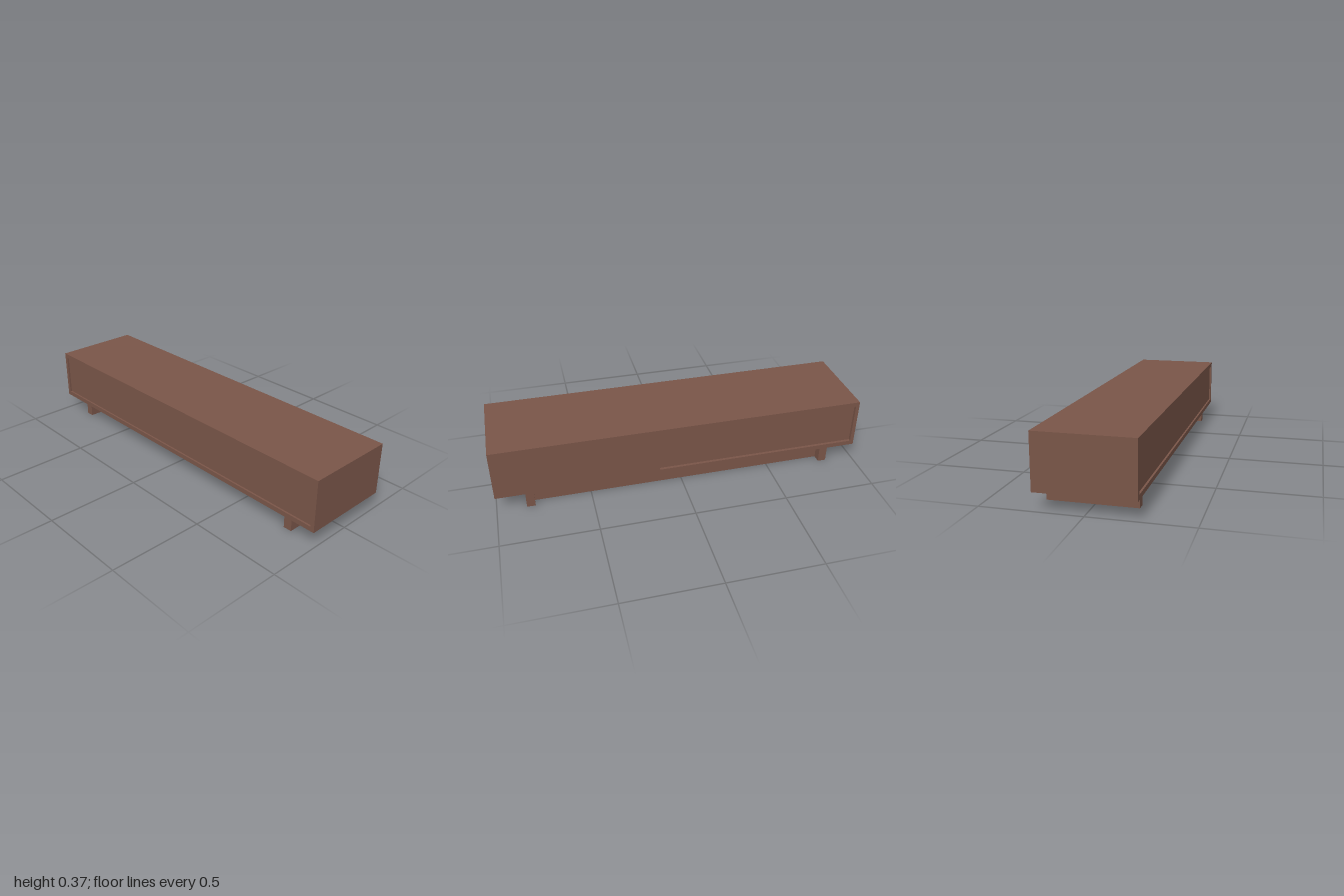
import * as THREE from 'three';

export function createModel() {
  const model = new THREE.Group();
  const wood = new THREE.MeshStandardMaterial({ color: 0x795548 });
  wood.name = 'brown wood';

  // Box given by its lower and upper limits on each axis
  function board(name, [x0, x1], [y0, y1], [z0, z1]) {
    const mesh = new THREE.Mesh(new THREE.BoxGeometry(x1 - x0, y1 - y0, z1 - z0), wood);
    mesh.position.set((x0 + x1) / 2, (y0 + y1) / 2, (z0 + z1) / 2);
    mesh.name = name;
    model.add(mesh);
  }

  const bottom = 0.09, top = 0.368, depth = 0.242;
  const side = 0.02, shelf = 0.025;
  const inX = 1 - side, inY = [bottom + shelf, top - shelf];

  // Cabinet shell, open at front and back
  const outline = new THREE.Shape([[-1, bottom], [1, bottom], [1, top], [-1, top]]
    .map(p => new THREE.Vector2(...p)));
  outline.holes.push(new THREE.Path([[-inX, inY[0]], [-inX, inY[1]], [inX, inY[1]], [inX, inY[0]]]
    .map(p => new THREE.Vector2(...p))));
  const shellGeometry = new THREE.ExtrudeGeometry(outline, { depth: 2 * depth, bevelEnabled: false });
  shellGeometry.translate(0, 0, -depth);
  const shell = new THREE.Mesh(shellGeometry, wood);
  shell.name = 'cabinetShell';
  model.add(shell);

  // Front slightly set in; back is part flush, part recessed
  board('frontPanel', [-inX, inX], inY, [depth - 0.03, depth - 0.01]);
  board('flushBackPanel', [0.13, inX], inY, [-depth, -depth + 0.03]);
  board('recessedBackPanel', [-inX, 0.13], inY, [-depth + 0.016, -depth + 0.03]);

  // Base: two cross runners joined by two long rails
  board('leftRunner', [0.8, 0.845], [0, bottom], [-0.235, 0.21]);
  board('rightRunner', [-0.845, -0.8], [0, bottom], [-0.235, 0.21]);
  board('frontRail', [-0.8, 0.8], [0, bottom], [0.073, 0.107]);
  board('backRail', [-0.8, 0.8], [0, bottom], [-0.19, -0.156]);

  return model;
}
